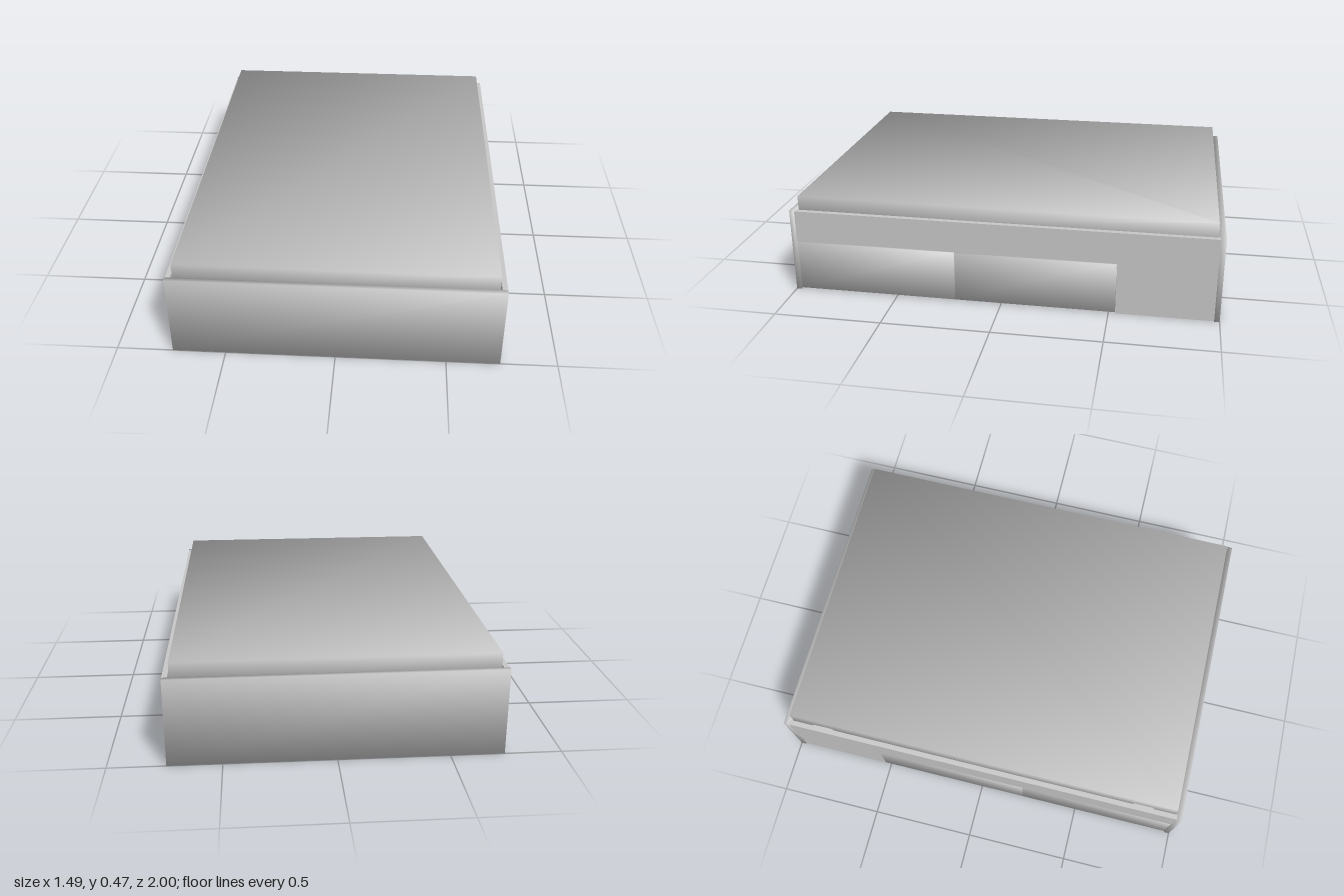
import * as THREE from 'three';

const grey = new THREE.MeshStandardMaterial({ color: 0xc8c8c8 });
grey.name = 'plain grey';

// Box given by its min and max corners; soft boxes have normals fanning out to the corners
function box(parent, name, min, max, soft = false) {
  const size = max.map((v, i) => v - min[i]);
  const geometry = new THREE.BoxGeometry(...size);
  if (soft) {
    const p = geometry.attributes.position;
    const n = geometry.attributes.normal;
    const k = 1 / Math.sqrt(3);
    for (let i = 0; i < p.count; i++) {
      n.setXYZ(i, k * Math.sign(p.getX(i)), k * Math.sign(p.getY(i)), k * Math.sign(p.getZ(i)));
    }
  }
  const mesh = new THREE.Mesh(geometry, grey);
  mesh.name = name;
  mesh.position.set(...max.map((v, i) => (v + min[i]) / 2));
  parent.add(mesh);
}

// Drawer on the +x side: tall front, low tray and four small wheels
function createDrawer(z0, z1) {
  const drawer = new THREE.Group();
  drawer.name = 'drawer';
  box(drawer, 'drawerFront', [0.722, 0.006, z0], [0.738, 0.246, z1], true);
  const t = 0.012, inner = 0.238;
  box(drawer, 'drawerBottom', [inner + t, 0.022, z0 + t], [0.722, 0.03, z1 - t], true);
  box(drawer, 'drawerBack', [inner, 0.015, z0], [inner + t, 0.175, z1], true);
  for (const z of [z0, z1 - t]) {
    box(drawer, 'drawerSide', [inner + t, 0.015, z], [0.722, 0.175, z + t]);
  }
  for (const x of [0.265, 0.69]) {
    for (const z of [z0 + 0.025, z1 - 0.025]) {
      const wheel = new THREE.Mesh(new THREE.CylinderGeometry(0.009, 0.009, 0.012, 12), grey);
      wheel.name = 'drawerWheel';
      wheel.rotation.x = Math.PI / 2;
      wheel.position.set(x, 0.014, z);
      drawer.add(wheel);
    }
  }
  return drawer;
}

export function createModel() {
  const bed = new THREE.Group();
  bed.name = 'storageBed';

  box(bed, 'mattress', [-0.712, 0.34, -0.966], [0.712, 0.468, 0.966], true);
  box(bed, 'footboard', [-0.743, 0, 0.976], [0.743, 0.405, 1], true);
  box(bed, 'headboard', [-0.743, 0, -1], [0.743, 0.405, -0.976], true);

  // Long sides, mirrored: top rail, panel at the head end and two drawers
  for (const s of [1, -1]) {
    const side = new THREE.Group();
    side.name = s > 0 ? 'leftSide' : 'rightSide';
    box(side, 'sideRail', [0.719, 0.252, -0.976], [0.743, 0.403, 0.976]);
    box(side, 'headSidePanel', [0.719, 0, -0.976], [0.738, 0.252, -0.532]);
    side.add(createDrawer(0.2185, 0.974), createDrawer(-0.53, 0.2165));
    side.scale.x = s;
    bed.add(side);
  }

  // Small brackets joining the mattress base to the frame
  for (const s of [1, -1]) {
    for (const e of [1, -1]) {
      const x = 0.545 * s, z = 0.971 * e;
      box(bed, 'endBracket', [x - 0.055, 0.35, z - 0.006], [x + 0.055, 0.39, z + 0.006]);
      const sx = 0.716 * s, sz = 0.81 * e;
      box(bed, 'sideBracket', [sx - 0.005, 0.35, sz - 0.05], [sx + 0.005, 0.39, sz + 0.05]);
    }
  }
  return bed;
}
